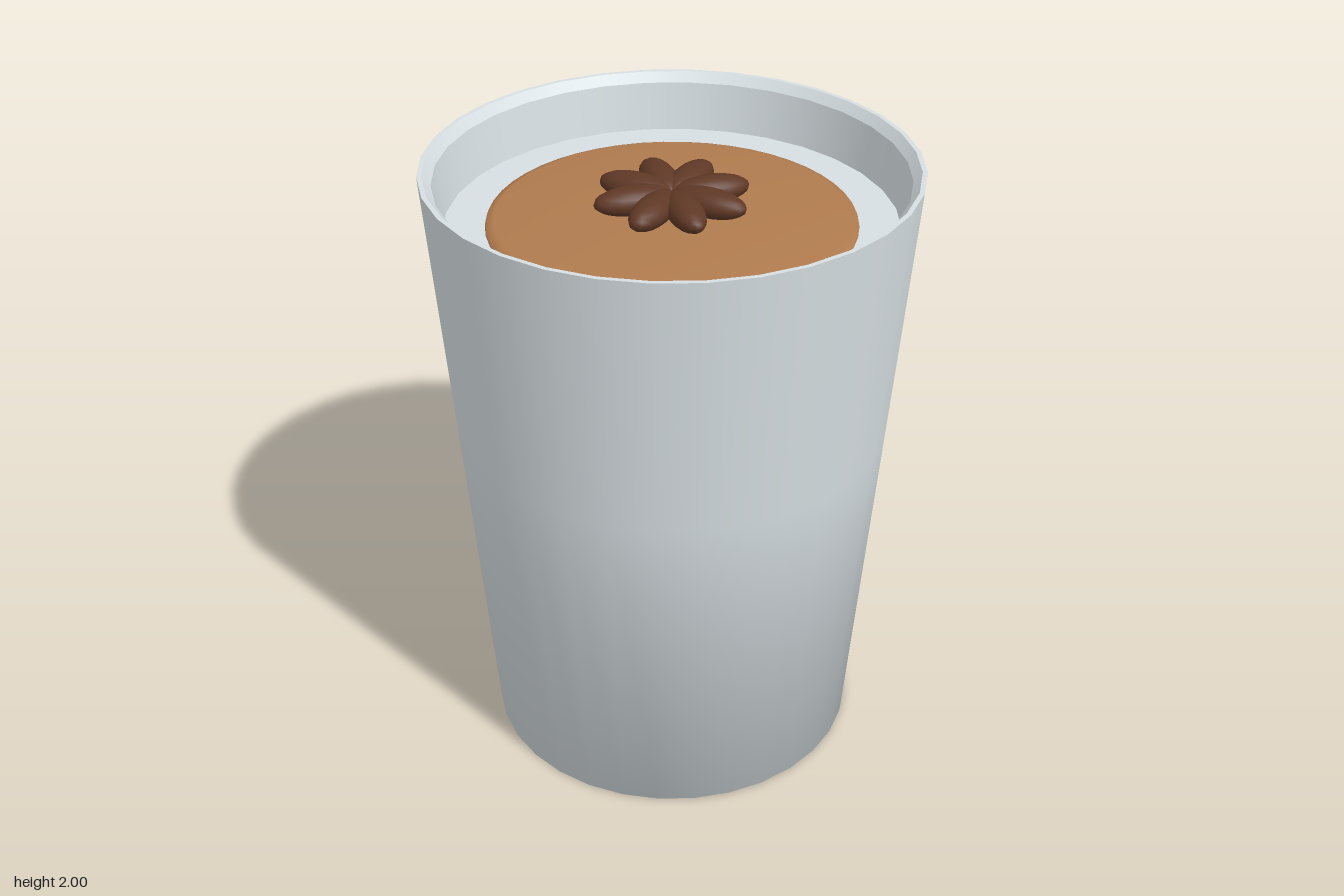
import * as THREE from 'three';

const material = (name, color) => {
  const m = new THREE.MeshStandardMaterial({ color });
  m.name = name;
  return m;
};

// Revolved part from [radius, height] points, listed so the faces point outward
const lathe = (name, points, mat, segments = 32) => {
  const profile = points.map(([r, y]) => new THREE.Vector2(r, y));
  const mesh = new THREE.Mesh(new THREE.LatheGeometry(profile, segments), mat);
  mesh.name = name;
  return mesh;
};

export function createModel() {
  const group = new THREE.Group();
  group.name = 'spicedDrinkCup';

  const ceramic = material('pale grey', 0xd6dee1);
  const spice = material('cinnamon brown', 0xb07b4e);
  const anise = material('dark brown', 0x5f3826);

  // Tapered cup: base and wall share soft normals, the rim stays crisp
  group.add(
    lathe('cupWall', [[0, 0], [0.61, 0], [0.696, 1.15], [0.76, 2]], ceramic),
    lathe('cupRim', [[0.76, 2], [0.745, 2]], ceramic),
    lathe('cupLip', [[0.745, 2], [0.72, 1.97]], ceramic),
    lathe('cupInside', [[0.72, 1.97], [0.695, 1.815]], ceramic),
    lathe('milkSurface', [[0.7, 1.815], [0, 1.815]], ceramic),
  );

  // Shallow dome of spice on the milk
  group.add(lathe('spiceLayer',
    [[0.57, 1.81], [0.565, 1.825], [0.54, 1.835], [0.3, 1.853], [0, 1.86]], spice, 48));

  // Eight-pointed star garnish
  const star = new THREE.Group();
  star.name = 'starGarnish';
  star.position.y = 1.9;
  const petalGeometry = new THREE.SphereGeometry(1, 16, 12);
  petalGeometry.scale(0.125, 0.045, 0.055);
  petalGeometry.translate(0.122, 0, 0);
  for (let i = 0; i < 8; i++) {
    const petal = new THREE.Mesh(petalGeometry, anise);
    petal.name = 'starPetal';
    petal.rotation.y = (i * Math.PI) / 4;
    star.add(petal);
  }
  group.add(star);

  return group;
}
